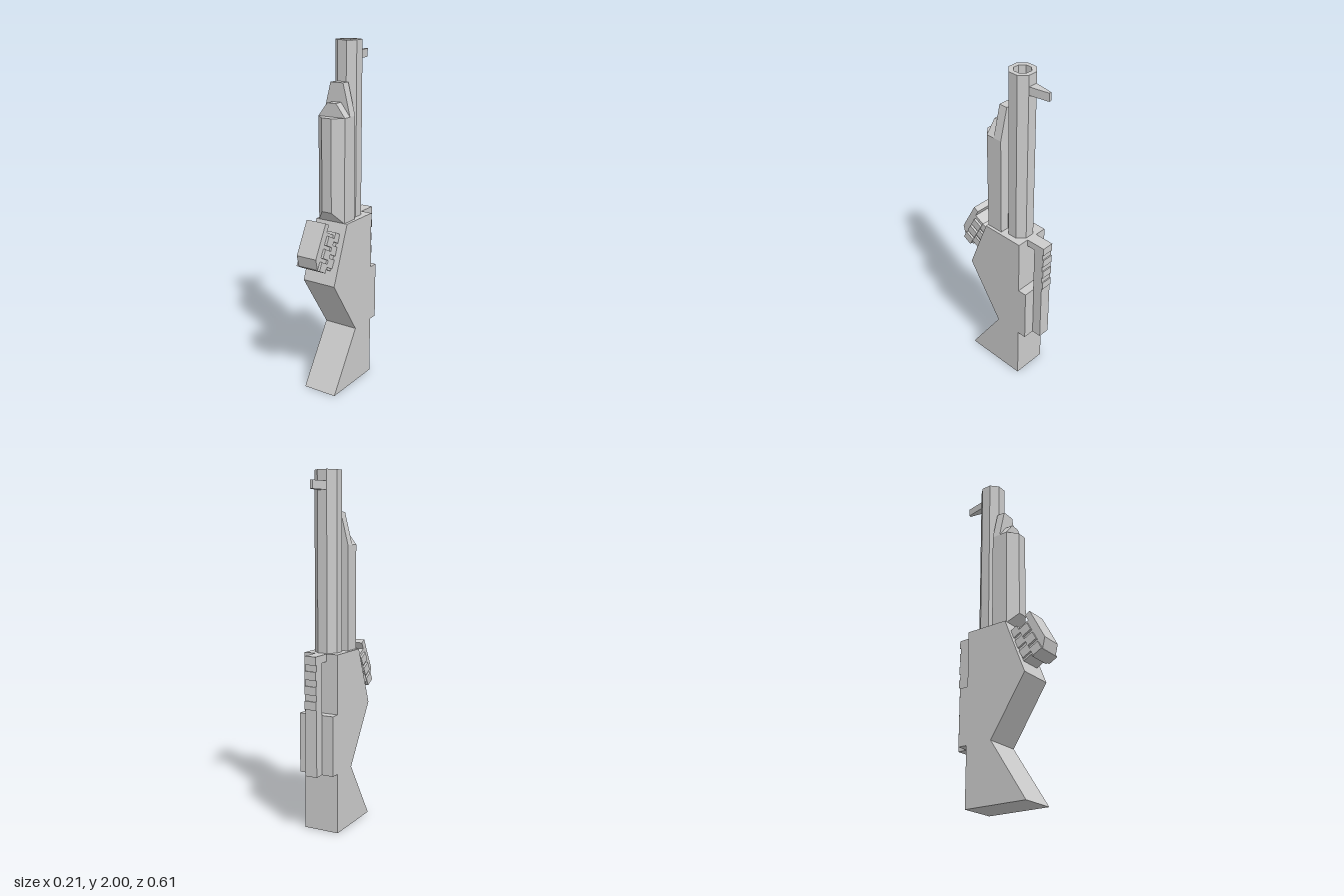
import * as THREE from 'three';

const mat = new THREE.MeshStandardMaterial({ color: 0xcccccc, flatShading: true });

export function createModel() {
  const group = new THREE.Group();
  const add = (name, geo) => {
    const mesh = new THREE.Mesh(geo, mat);
    mesh.name = name;
    group.add(mesh);
    return mesh;
  };
  const box = (name, x0, x1, y0, y1, z0, z1) =>
    add(name, new THREE.BoxGeometry(x1 - x0, y1 - y0, z1 - z0)
      .translate((x0 + x1) / 2, (y0 + y1) / 2, (z0 + z1) / 2));
  // side profile of [z, y] points extruded across x
  const sidePrism = (name, pts, x0, x1) => {
    const shape = new THREE.Shape(pts.map(([z, y]) => new THREE.Vector2(-z, y)));
    const geo = new THREE.ExtrudeGeometry(shape, { depth: x1 - x0, bevelEnabled: false });
    return add(name, geo.rotateY(Math.PI / 2).translate(x0, 0, 0));
  };
  // front profile of [x, y] points extruded along z
  const frontPrism = (name, pts, z0, z1) => {
    const shape = new THREE.Shape(pts.map(([x, y]) => new THREE.Vector2(x, y)));
    const geo = new THREE.ExtrudeGeometry(shape, { depth: z1 - z0, bevelEnabled: false });
    return add(name, geo.translate(0, 0, z0));
  };
  // block running from one rectangle to another along z: [z, halfWidth, y0, y1]
  const taper = (name, back, front) => {
    const geo = new THREE.BoxGeometry(1, 1, 1);
    const p = geo.attributes.position;
    for (let i = 0; i < p.count; i++) {
      const [z, w, y0, y1] = p.getZ(i) > 0 ? front : back;
      p.setXYZ(i, Math.sign(p.getX(i)) * w, p.getY(i) > 0 ? y1 : y0, z);
    }
    return add(name, geo);
  };

  // Stock and receiver in one angular profile
  sidePrism('stock', [[0.197, 0], [-0.189, 0], [-0.189, 1.012], [0.068, 1.012],
    [0.197, 0.68], [-0.025, 0.343]], -0.104, 0.104);

  // Back block with a ridged rail bridged to the receiver
  box('backBlock', -0.104, 0.104, 0.343, 0.68, -0.243, -0.185);
  box('rail', -0.035, 0.035, 0.343, 1.012, -0.301, -0.24);
  box('railBridge', -0.035, 0.035, 0.97, 1.012, -0.245, -0.185);
  for (let i = 0; i < 4; i++) {
    const y = 0.965 - i * 0.082;
    box('railRidge', -0.035, 0.035, y, y + 0.047, -0.308, -0.295);
  }

  // Octagonal barrel with a bore
  const bore = [[0, 1.01], [0.0745, 1.01], [0.0745, 2], [0.0473, 2], [0.0473, 1.75], [0, 1.75]];
  add('barrel', new THREE.LatheGeometry(bore.map(([r, y]) => new THREE.Vector2(r, y)), 8, Math.PI / 8)
    .translate(0, 0, -0.1025));
  taper('frontSight', [-0.285, 0.007, 1.892, 1.938], [-0.16, 0.029, 1.892, 1.938]);

  // Fore-end: straight slabs with stepped, sloped tops and a tapered face
  frontPrism('foreEndBack', [[-0.086, 1.01], [0.086, 1.01], [0.086, 1.6], [0.041, 1.78],
    [-0.041, 1.78], [-0.086, 1.6]], -0.035, 0.016);
  frontPrism('foreEndMiddle', [[-0.086, 1.01], [0.086, 1.01], [0.086, 1.6], [0.028, 1.675],
    [-0.028, 1.675], [-0.086, 1.6]], 0.016, 0.066);
  taper('foreEndFace', [0.066, 0.086, 1.01, 1.6], [0.116, 0.031, 1.075, 1.6]);

  // Tilted front holder: s runs down its face, p runs inward
  const tilt = ([s, p]) => [0.21 + s * 0.468 - p * 0.884, 1.046 - s * 0.884 - p * 0.468];
  const holder = [[0, 0], [0, 0.035], [0.042, 0.035], [0.042, 0.21], [0.235, 0.21],
    [0.235, 0.115], [0.255, 0.115], [0.255, 0.044], [0.205, 0]];
  sidePrism('holder', holder.map(tilt), -0.068, 0.059);

  // Side lugs in two columns
  for (let row = 0; row < 3; row++) {
    const s = 0.06 + row * 0.073;
    const lug = (s0, s1, p0, p1, out) => sidePrism('holderLug',
      [[s0, p0], [s0, p1], [s1, p1], [s1, p0]].map(tilt), -0.068 - out, 0.059 + out);
    lug(s, s + 0.052, 0.044, 0.105, 0.014);
    lug(s - 0.035, s + 0.017, 0.105, 0.165, 0.011);
  }
  return group;
}
